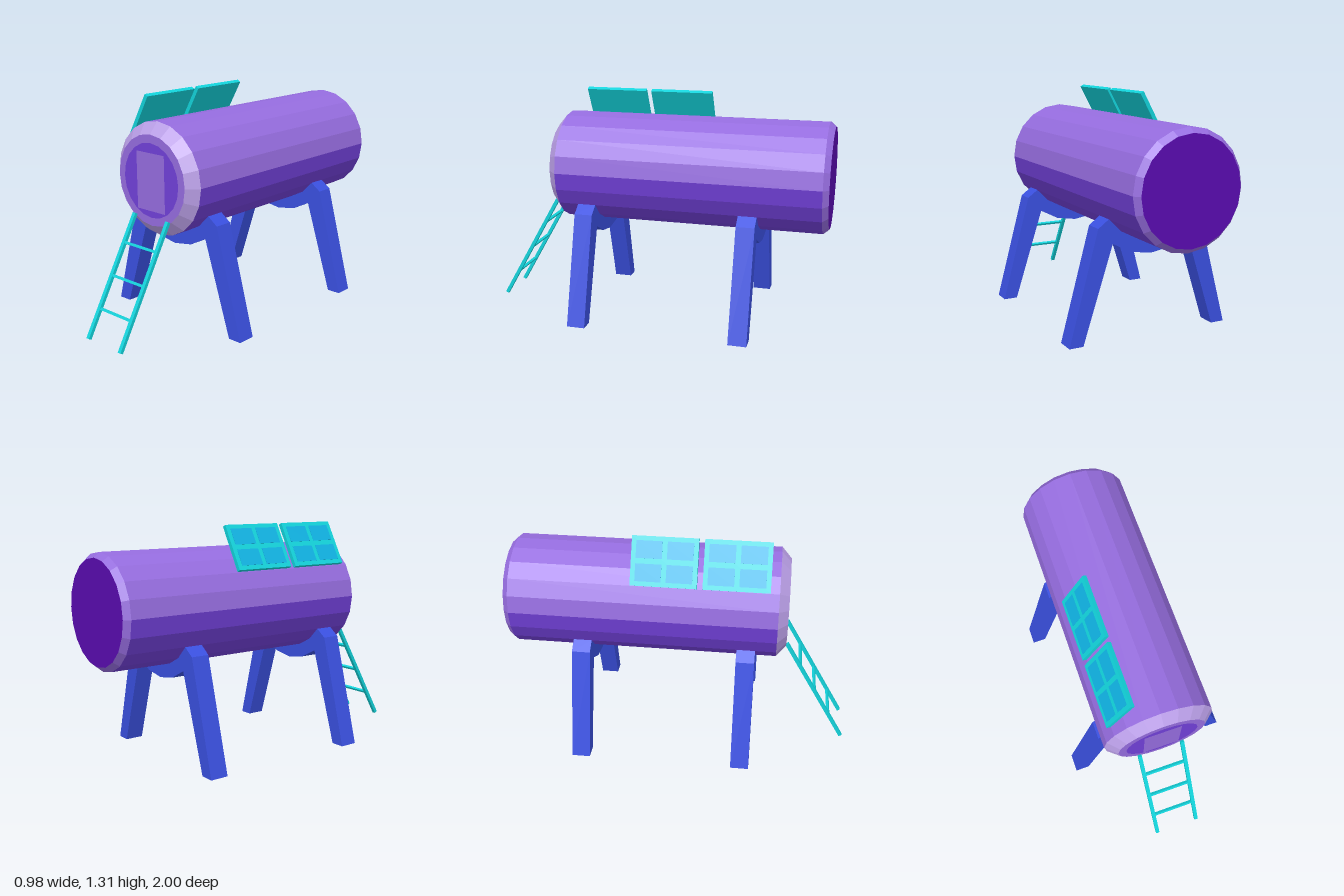
import * as THREE from 'three';

const mat = (name, color, extra = {}) => {
  const m = new THREE.MeshStandardMaterial({ color, flatShading: true, ...extra });
  m.name = name;
  return m;
};

const SIDES = 20, CY = 0.866, R = 0.32;

export function createModel() {
  const lilac = mat('lilac', 0x956cde);
  const violet = mat('violet', 0x7140d8);
  const pale = mat('pale lilac', 0xb99ee6);
  const indigo = mat('indigo', 0x5a0bb0);
  const blue = mat('blue', 0x3a50e0);
  const cyan = mat('cyan', 0x12d2da);
  const glass = mat('glass blue', 0x0fb2e2);

  const model = new THREE.Group();
  model.name = 'tankOnStand';
  const add = (name, geo, material, parent = model) => {
    const mesh = new THREE.Mesh(geo, material);
    mesh.name = name;
    parent.add(mesh);
    return mesh;
  };

  // Tank: open tube sections along z, from zBack to zFront
  const tube = (name, rFront, rBack, zBack, zFront, material, start = 0, sweep = Math.PI * 2) => {
    const segs = Math.round(SIDES * sweep / (Math.PI * 2));
    const geo = new THREE.CylinderGeometry(rFront, rBack, zFront - zBack, segs, 1, true, start, sweep);
    geo.rotateX(Math.PI / 2).translate(0, CY, (zFront + zBack) / 2);
    return add(name, geo, material);
  };
  tube('tankUpperShell', R, R, -0.967, 0.562, lilac, Math.PI / 2, Math.PI);
  tube('tankLowerShell', R, R, -0.967, 0.562, violet, Math.PI * 1.5, Math.PI);
  tube('frontBevel', 0.256, R, 0.562, 0.618, pale);
  tube('backBevel', R, 0.292, -1, -0.967, lilac);

  // End caps and painted door
  add('frontCap', new THREE.CircleGeometry(0.256, SIDES).translate(0, CY, 0.618), lilac);
  add('frontDisc', new THREE.CircleGeometry(0.21, SIDES).translate(0, CY, 0.62), violet);
  add('frontDoor', new THREE.PlaneGeometry(0.214, 0.325).translate(0, 0.858, 0.622), lilac);
  add('backCap', new THREE.CircleGeometry(0.292, SIDES).rotateY(Math.PI).translate(0, CY, -1), indigo);

  // Stands: cradle under the tank with two splayed legs
  const step = Math.PI * 2 / SIDES;
  const onArc = (r, k) => [r * Math.sin(k * step), CY - r * Math.cos(k * step)];
  const outline = [[0.41, 0], [0.492, 0]];
  outline.push(onArc(0.397, 3));
  for (let k = 3; k >= -3; k--) outline.push(onArc(0.318, k));
  outline.push(onArc(0.397, -3), [-0.492, 0], [-0.41, 0]);
  for (let k = -2; k <= 2; k++) outline.push(onArc(0.4, k));
  const standShape = new THREE.Shape(outline.map(p => new THREE.Vector2(...p)));
  for (const [name, z] of [['frontStand', 0.39], ['backStand', -0.558]]) {
    const geo = new THREE.ExtrudeGeometry(standShape, { depth: 0.106, bevelEnabled: false });
    add(name, geo.translate(0, 0, z - 0.053), blue);
  }

  // Ladder leaning on the front
  const ladder = new THREE.Group();
  ladder.name = 'ladder';
  model.add(ladder);
  const foot = new THREE.Vector2(0.99, 0.022), head = new THREE.Vector2(0.624, 0.66);
  const lean = Math.atan2(head.x - foot.x, head.y - foot.y);
  for (const side of [-1, 1]) {
    const rail = add(side > 0 ? 'leftRail' : 'rightRail',
      new THREE.BoxGeometry(0.022, foot.distanceTo(head), 0.02), cyan, ladder);
    rail.position.set(side * 0.13, (foot.y + head.y) / 2, (foot.x + head.x) / 2);
    rail.rotation.x = lean;
  }
  for (const y of [0.175, 0.342, 0.51]) {
    const rung = add('rung', new THREE.BoxGeometry(0.24, 0.015, 0.015), cyan, ladder);
    rung.position.set(0, y, foot.x + (y - foot.y) * Math.tan(lean));
    rung.rotation.x = lean;
  }

  // Tilted panels: local x runs up the slope, local y is the outward normal
  for (const z of [0.325, -0.079]) {
    const panel = new THREE.Group();
    panel.name = 'solarPanel';
    panel.position.set(-0.206, 1.185, z);
    panel.rotation.z = Math.atan2(0.242, 0.135);
    model.add(panel);
    add('panelFrame', new THREE.BoxGeometry(0.277, 0.024, 0.372), cyan, panel);
    for (const sx of [-1, 1]) for (const sz of [-1, 1]) {
      add('panelPane', new THREE.BoxGeometry(0.098, 0.004, 0.146), glass, panel)
        .position.set(sx * 0.064, 0.012, sz * 0.087);
    }
  }
  return model;
}
